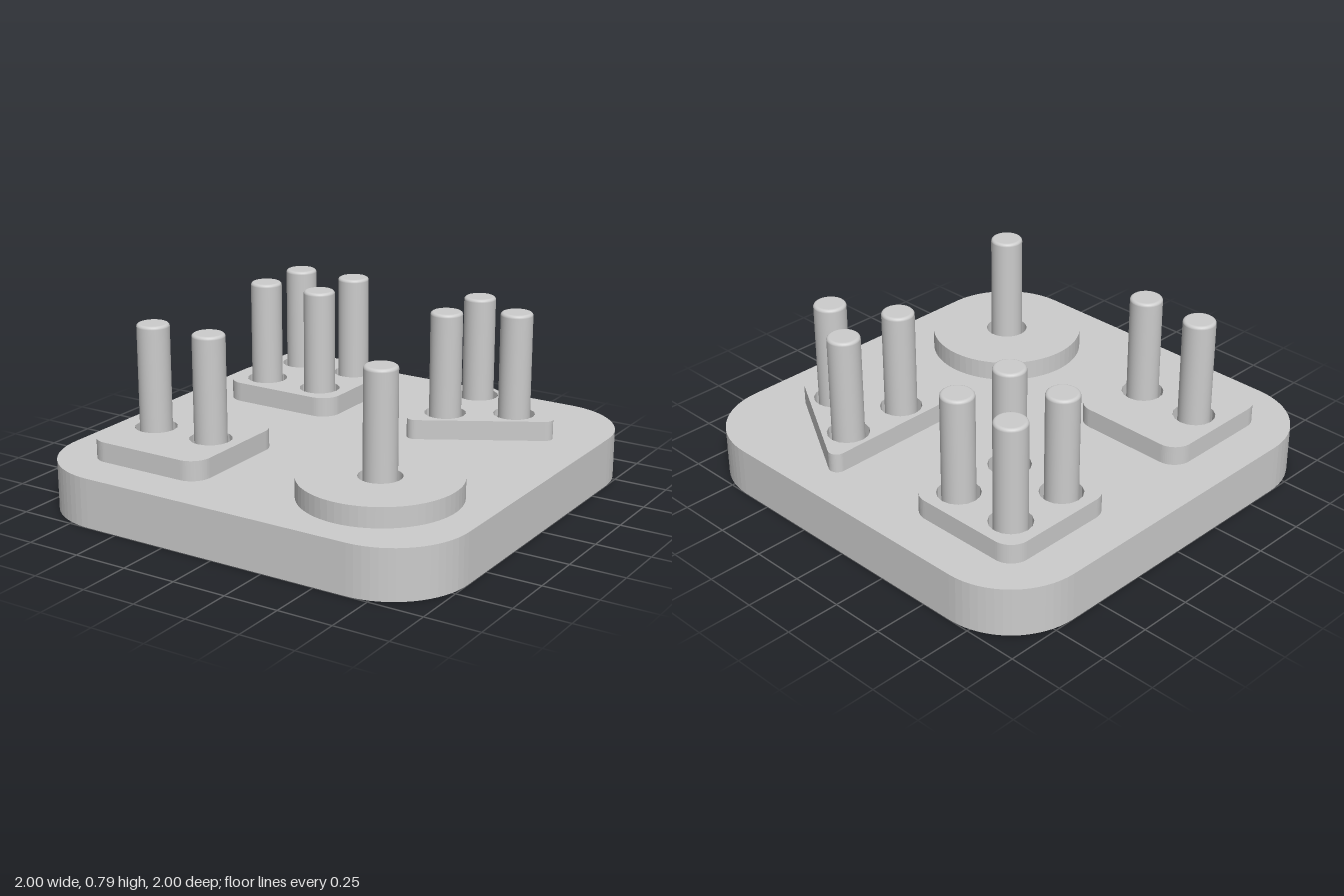
import * as THREE from 'three';

const BASE_TOP = 0.225, PLATE_TOP = 0.315, PEG_TOP = 0.79;
const PEG_R = 0.073, HOLE_R = 0.095;

// Regular polygon with rounded corners; reach is the distance from the middle to each corner's arc centre.
function roundedPolygon(sides, reach, radius, turn) {
  const shape = new THREE.Shape();
  for (let i = 0; i < sides; i++) {
    const a = turn + (i * 2 * Math.PI) / sides, half = Math.PI / sides;
    shape.absarc(Math.cos(a) * reach, Math.sin(a) * reach, radius, a - half, a + half, false);
  }
  shape.closePath();
  return shape;
}

const roundedSquare = (half, radius) => roundedPolygon(4, (half - radius) * Math.SQRT2, radius, Math.PI / 4);

// Lays a shape flat and extrudes it upwards
function slab(shape, bottom, top, curveSegments) {
  const geometry = new THREE.ExtrudeGeometry(shape, { depth: top - bottom, bevelEnabled: false, curveSegments });
  return geometry.rotateX(-Math.PI / 2).translate(0, bottom, 0);
}

// Peg with a small rounded top edge
function pegGeometry() {
  const r = 0.014, profile = new THREE.Path();
  profile.moveTo(PEG_R, BASE_TOP);
  profile.lineTo(PEG_R, PEG_TOP - r);
  profile.absarc(PEG_R - r, PEG_TOP - r, r, 0, Math.PI / 2, false);
  const body = new THREE.LatheGeometry(profile.getPoints(4), 32);
  const cap = new THREE.CircleGeometry(PEG_R - r, 32).rotateX(-Math.PI / 2).translate(0, PEG_TOP, 0);
  return { body, cap };
}

export function createModel() {
  const model = new THREE.Group();
  model.name = 'pegSorter';
  const grey = new THREE.MeshStandardMaterial({ color: 0xcccccc });
  grey.name = 'lightGrey';

  const add = (parent, name, geometry, x = 0, z = 0) => {
    const mesh = new THREE.Mesh(geometry, grey);
    mesh.name = name;
    mesh.position.set(x, 0, z);
    parent.add(mesh);
  };

  // Base board
  add(model, 'base', slab(roundedSquare(1, 0.35), 0, BASE_TOP, 8));

  const disc = new THREE.Shape();
  disc.absarc(0, 0, 0.352, 0, Math.PI * 2, false);
  const ring = (count, reach, turn) => Array.from({ length: count }, (_, i) => {
    const a = turn + (i * 2 * Math.PI) / count;
    return [Math.cos(a) * reach, Math.sin(a) * reach];
  });

  // Raised plates, each drilled around its pegs
  const stations = [
    { name: 'fourPeg', shape: roundedSquare(0.295, 0.09), x: -0.507, z: -0.507, pegs: ring(4, 0.212, Math.PI / 4) },
    { name: 'threePeg', shape: roundedPolygon(3, 0.333, 0.04, 0), x: 0.417, z: -0.507, pegs: ring(3, 0.18, 0) },
    { name: 'twoPeg', shape: roundedSquare(0.295, 0.09), x: -0.507, z: 0.505, pegs: ring(2, 0.15, 0) },
    { name: 'onePeg', shape: disc, x: 0.505, z: 0.505, pegs: [[0, 0]] },
  ];
  const { body, cap } = pegGeometry();

  for (const { name, shape, x, z, pegs } of stations) {
    const station = new THREE.Group();
    station.name = name + 'Station';
    station.position.set(x, 0, z);
    model.add(station);

    for (const [px, pz] of pegs) {
      const hole = new THREE.Path();
      hole.absarc(px, -pz, HOLE_R, 0, Math.PI * 2, true);
      shape.holes.push(hole);
      add(station, 'peg', body, px, pz);
      add(station, 'pegTop', cap, px, pz);
    }
    add(station, 'plate', slab(shape, BASE_TOP, PLATE_TOP, shape === disc ? 32 : 8));
  }
  return model;
}
